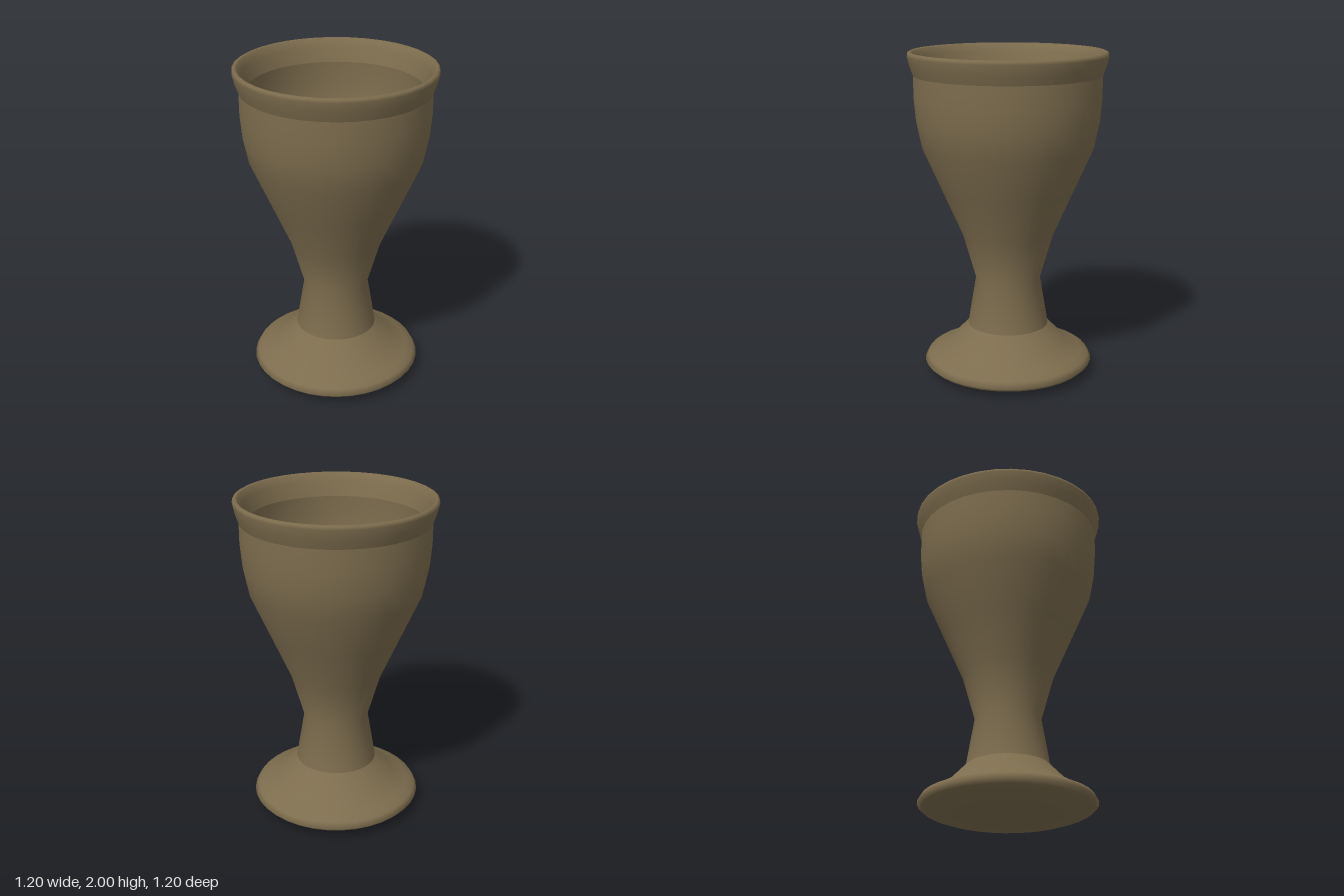
import * as THREE from 'three';

const SEGMENTS = 36;

// Turns a list of [radius, height] points into a lathed mesh
function turned(name, profile, material) {
  const points = profile.map(([r, y]) => new THREE.Vector2(r, y));
  const mesh = new THREE.Mesh(new THREE.LatheGeometry(points, SEGMENTS), material);
  mesh.name = name;
  return mesh;
}

export function createModel() {
  const group = new THREE.Group();
  group.name = 'goblet';
  const clay = new THREE.MeshStandardMaterial({ color: 0x7d6d4e });

  // Flat underside, rounded edge and sloping top of the foot
  group.add(turned('foot', [
    [0, 0], [0.3, 0.005], [0.43, 0.02], [0.5, 0.045], [0.525, 0.07],
    [0.505, 0.105], [0.46, 0.125], [0.36, 0.185], [0.25, 0.3],
  ], clay));

  // Waisted stem flaring up into the bowl
  group.add(turned('stem', [
    [0.25, 0.3], [0.2, 0.6], [0.28, 0.88], [0.4, 1.155],
  ], clay));

  // Outer wall of the bowl
  group.add(turned('bowl', [
    [0.4, 1.155], [0.52, 1.43], [0.552, 1.59], [0.564, 1.73], [0.564, 1.86],
  ], clay));

  // Rounded lip at the top
  group.add(turned('rim', [
    [0.564, 1.86], [0.585, 1.92], [0.598, 1.975], [0.595, 1.993], [0.582, 2],
    [0.567, 1.993], [0.545, 1.95], [0.517, 1.86],
  ], clay));

  // Hollow inside of the bowl, from lip down to the centre
  group.add(turned('bowlInterior', [
    [0.517, 1.86], [0.522, 1.73], [0.51, 1.59], [0.47, 1.43],
    [0.36, 1.2], [0.2, 1.05], [0.08, 1.005], [0, 1],
  ], clay));

  return group;
}
